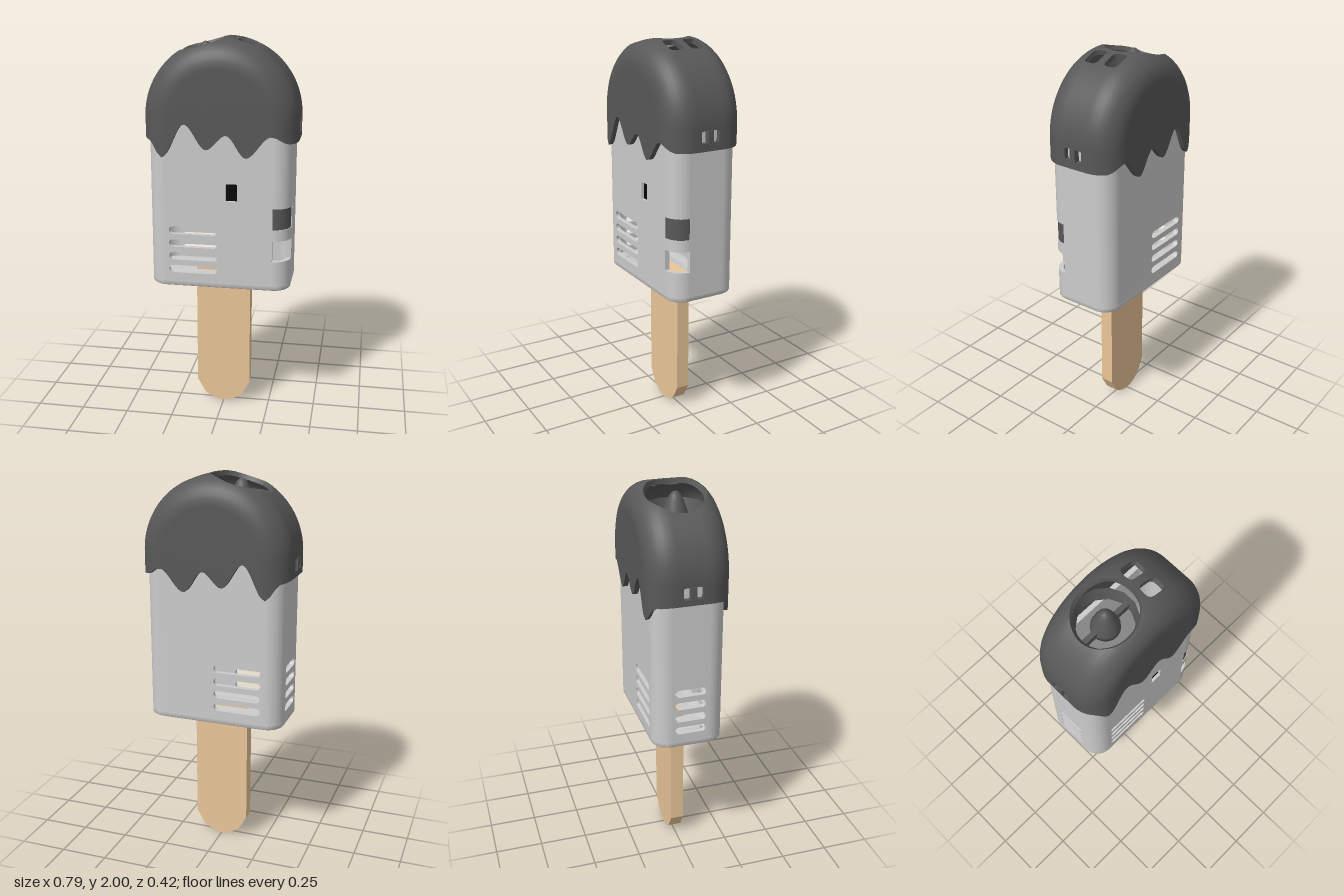
import * as THREE from 'three';
import { toCreasedNormals } from 'three/addons/utils/BufferGeometryUtils.js';

const mat = (color, side = THREE.FrontSide) => new THREE.MeshStandardMaterial({ color, side });
const GREY = mat(0xcccccc), DARK = mat(0x585858), DARK2 = mat(0x585858, THREE.DoubleSide);
const WOOD = mat(0xeac698), BLACK = mat(0x050505);

const HX = 0.365, HZ = 0.185, R = 0.09, WALL = 0.025;   // body half sizes, corner radius, wall
const Y0 = 0.762, Y1 = 1.65;                            // body wall bottom and top

function add(parent, name, geometry, material, x = 0, y = 0, z = 0) {
  const m = new THREE.Mesh(geometry, material);
  m.name = name;
  m.position.set(x, y, z);
  parent.add(m);
  return m;
}

const extrude = (shape, depth, opts = {}) =>
  new THREE.ExtrudeGeometry(shape, { depth, bevelEnabled: false, curveSegments: 10, ...opts });

function rect(x0, y0, x1, y1, r = 0, Type = THREE.Shape) {
  const s = new Type();
  if (!r) {
    s.moveTo(x0, y0).lineTo(x1, y0).lineTo(x1, y1).lineTo(x0, y1).closePath();
    return s;
  }
  s.moveTo(x0 + r, y0);
  s.absarc(x1 - r, y0 + r, r, -Math.PI / 2, 0);
  s.absarc(x1 - r, y1 - r, r, 0, Math.PI / 2);
  s.absarc(x0 + r, y1 - r, r, Math.PI / 2, Math.PI);
  s.absarc(x0 + r, y0 + r, r, Math.PI, Math.PI * 1.5);
  return s;
}

// Flat wall plate with optional row of vent slots
function plate(half, slot) {
  const s = rect(-half, Y0, half, Y1);
  if (slot) for (let i = 0; i < 4; i++) {
    const y = 0.825 + i * 0.07;
    s.holes.push(rect(slot[0], y - 0.02, slot[1], y + 0.02, 0.0195, THREE.Path));
  }
  return s;
}

// Upright quarter ring for a body corner, between two heights
function cornerGeometry(y0, y1, inset = 0) {
  const s = new THREE.Shape();
  s.absarc(0, 0, R - inset, 0, Math.PI / 2);
  s.absarc(0, 0, R - WALL, Math.PI / 2, 0, true);
  const g = extrude(s, y1 - y0, { curveSegments: 12 });
  g.rotateX(-Math.PI / 2);
  g.translate(0, y0, 0);
  return toCreasedNormals(g, 0.5);
}

function makeBody() {
  const body = new THREE.Group();
  body.name = 'body';
  const px = HX - R, pz = HZ - R;

  const front = plate(px, [-0.26, -0.01]);
  front.holes.push(rect(0.035, 1.2, 0.095, 1.29, 0, THREE.Path));
  add(body, 'frontWall', extrude(front, WALL), GREY, 0, 0, HZ - WALL);
  add(body, 'backWall', extrude(plate(px, [-0.26, -0.01]), WALL), GREY, 0, 0, -HZ);
  add(body, 'rightWall', extrude(plate(pz, [-0.08, 0.08]), WALL), GREY, -HX + WALL).rotation.y = -Math.PI / 2;
  add(body, 'leftWall', extrude(plate(pz), WALL), GREY, HX - WALL).rotation.y = Math.PI / 2;
  add(body, 'displayPanel', new THREE.BoxGeometry(0.07, 0.1, 0.01), BLACK, 0.065, 1.245, HZ - 0.02);

  // Corners, turned about y; the front left one has two windows
  const corners = [[px, -pz, 0], [-px, -pz, 1], [-px, pz, 2], [px, pz, 3]];
  for (const [x, z, turn] of corners) {
    const spans = turn === 3 ? [[Y0, 0.89], [1.0, 1.06], [1.17, Y1]] : [[Y0, Y1]];
    for (const [a, b] of spans)
      add(body, 'cornerWall', cornerGeometry(a, b), GREY, x, 0, z).rotation.y = turn * Math.PI / 2;
  }
  add(body, 'cornerSensor', cornerGeometry(1.06, 1.17, 0.004), DARK, px, 0, pz).rotation.y = Math.PI * 1.5;

  // Floor with softened edge and screw holes
  const b = 0.012;
  const floor = rect(-HX + b, -HZ + b, HX - b, HZ - b, R - b);
  for (const x of [-0.27, 0.27]) for (const z of [-0.1, 0.1])
    floor.holes.push(new THREE.Path().absarc(x, z, 0.024, 0, Math.PI * 2, true));
  const fg = extrude(floor, 0.02, { bevelEnabled: true, bevelSize: b, bevelThickness: b, bevelSegments: 4 });
  fg.rotateX(-Math.PI / 2);
  add(body, 'floor', toCreasedNormals(fg, 0.6), GREY, 0, 0.73 + b, 0);
  return body;
}

// Dripping lower edge of the coating: turning points joined by smooth waves
const DRIPS = [[-0.4, 1.51], [-0.355, 1.5], [-0.285, 1.42], [-0.17, 1.59], [-0.06, 1.465], [0.04, 1.54],
  [0.14, 1.43], [0.265, 1.54], [0.36, 1.5], [0.4, 1.5]];
function dripY(x) {
  let i = 0;
  while (i < DRIPS.length - 2 && x > DRIPS[i + 1][0]) i++;
  const [x0, y0] = DRIPS[i], [x1, y1] = DRIPS[i + 1];
  return y0 + (y1 - y0) * THREE.MathUtils.smoothstep(x, x0, x1);
}

// Positive where the coating exists, negative in its openings
function keep(p) {
  let f = p.y - dripY(p.x);
  if (p.y > 1.7) {
    f = Math.min(f, Math.hypot(p.x + 0.095, p.z) - 0.152);
    const qx = Math.abs(p.x - 0.13) - 0.03, qz = Math.abs(Math.abs(p.z) - 0.0575) - 0.0175;
    f = Math.min(f, Math.hypot(Math.max(qx, 0), Math.max(qz, 0)) + Math.min(Math.max(qx, qz), 0) - 0.02);
  } else if (Math.abs(p.x) > 0.35) {
    f = Math.min(f, Math.max(Math.abs(p.z) - 0.05, Math.abs(p.y - 1.57) - 0.03));
  }
  return f;
}

// Arched shell with rounded rims: a section swept over the arch, trimmed by keep()
function shellGeometry() {
  const RX = 0.39, RZ = 0.21, F = 0.13, CY = 1.61, T = 0.025;
  const section = [];                                   // radius, z, normal
  for (let i = 0; i < 22; i++) section.push([(RX - F) * i / 22, RZ, 0, 1]);
  for (let i = 0; i <= 8; i++) {
    const a = i / 8 * Math.PI / 2, s = Math.sin(a), c = Math.cos(a);
    section.push([RX - F + F * s, RZ - F + F * c, s, c]);
  }
  for (let i = 1; i <= 7; i++) section.push([RX, (RZ - F) * (1 - i / 7), 1, 0]);
  for (let i = section.length - 2; i >= 0; i--) {
    const [r, z, nr, nz] = section[i];
    section.push([r, -z, nr, -nz]);
  }
  const path = [];                                      // direction and base height
  for (let i = 0; i < 12; i++) path.push([1, 0, 1.4 + (CY - 1.4) * i / 12]);
  for (let i = 0; i <= 80; i++) path.push([Math.cos(i / 80 * Math.PI), Math.sin(i / 80 * Math.PI), CY]);
  for (let i = 11; i >= 0; i--) path.push([-1, 0, 1.4 + (CY - 1.4) * i / 12]);

  const grid = path.map(([c, s, y]) => section.map(([r, z, nr, nz]) => {
    const at = (q, w) => new THREE.Vector3(c * q, y + s * q, w);
    const o = at(r, z);
    return { o, n: at(r - nr * T, z - nz * T), f: keep(o) };
  }));
  const out = [];
  const tri = (a, b, c) => {
    if (a.distanceTo(b) > 1e-5 && b.distanceTo(c) > 1e-5 && c.distanceTo(a) > 1e-5)
      for (const p of [a, b, c]) out.push(p.x, p.y, p.z);
  };
  const clip = (corners) => {
    const poly = [];
    corners.forEach((a, i) => {
      const b = corners[(i + 1) % 3];
      if (a.f > 0) poly.push(a);
      if ((a.f > 0) !== (b.f > 0)) {
        const [p, q] = a.f > 0 ? [a, b] : [b, a];
        const k = p.f / (p.f - q.f);
        poly.push({ o: p.o.clone().lerp(q.o, k), n: p.n.clone().lerp(q.n, k), cut: true });
      }
    });
    for (let i = 1; i < poly.length - 1; i++) {
      tri(poly[0].o, poly[i].o, poly[i + 1].o);
      tri(poly[0].n, poly[i + 1].n, poly[i].n);
    }
    poly.forEach((p, i) => {
      const q = poly[(i + 1) % poly.length];
      if (p.cut && q.cut) { tri(q.o, p.o, p.n); tri(q.o, p.n, q.n); }
    });
  };
  for (let i = 0; i < path.length - 1; i++) for (let j = 0; j < section.length - 1; j++) {
    const a = grid[i][j], b = grid[i][j + 1], c = grid[i + 1][j + 1], d = grid[i + 1][j];
    clip([a, b, c]);
    clip([a, c, d]);
  }
  const g = new THREE.BufferGeometry();
  g.setAttribute('position', new THREE.Float32BufferAttribute(out, 3));
  return toCreasedNormals(g, 0.7);
}

function makeCoating() {
  const cap = new THREE.Group();
  cap.name = 'coating';
  add(cap, 'coatingShell', shellGeometry(), DARK);

  // Funnel under the round opening, with a bridge carrying a pointed knob
  const lathe = (pts, n) => new THREE.LatheGeometry(pts.map(p => new THREE.Vector2(...p)), n);
  add(cap, 'funnel', lathe([[0.132, 1.83], [0.151, 1.905]], 14), DARK2, -0.095);
  add(cap, 'bridge', new THREE.BoxGeometry(0.31, 0.04, 0.025), DARK, -0.1, 1.85);
  add(cap, 'knob', lathe([[0, 1.82], [0.068, 1.82], [0.067, 1.85], [0.055, 1.89], [0.038, 1.935],
    [0.025, 1.962], [0.012, 1.973], [0, 1.976]], 24), DARK2, -0.095);

  // Clip bars in the side openings
  for (const s of [-1, 1])
    add(cap, 'sideClip', new THREE.BoxGeometry(0.03, 0.065, 0.03), DARK, s * 0.38, 1.57);
  return cap;
}

export function createModel() {
  const model = new THREE.Group();
  model.name = 'iceLolly';
  model.add(makeBody(), makeCoating());

  // Flat wooden stick with a faceted round end
  const half = [[0.145, 0.79], [0.145, 0.12], [0.1, 0.04], [0.05, 0.01]];
  const pts = [...half.map(([x, y]) => [-x, y]), [0, 0], ...half.reverse()];
  const stick = new THREE.Shape(pts.map(p => new THREE.Vector2(...p)));
  add(model, 'stick', extrude(stick, 0.07), WOOD, 0, 0, -0.035);
  return model;
}
